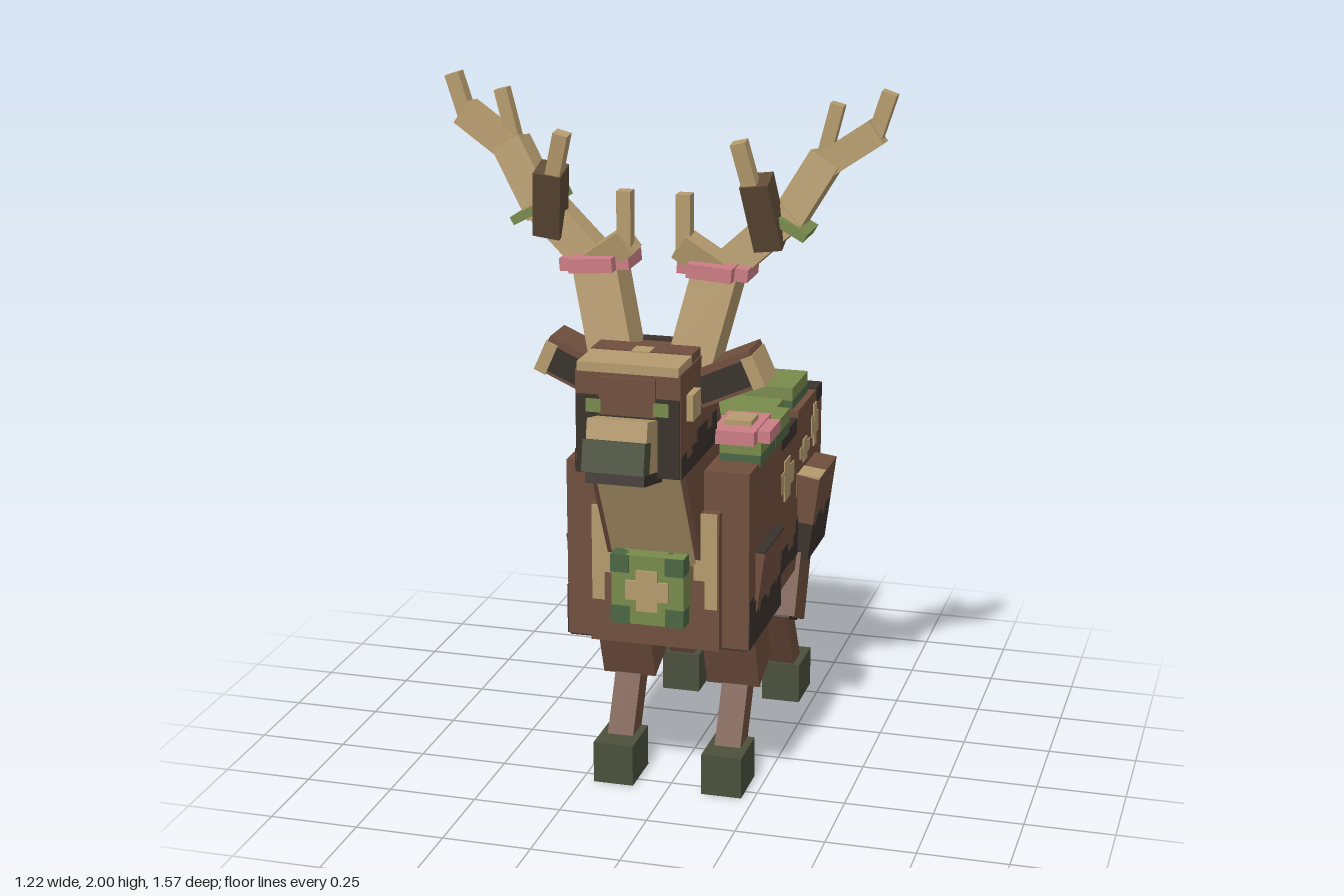
import * as THREE from 'three';

const mat = (name, color) => Object.assign(new THREE.MeshStandardMaterial({ color }), { name });
const brown = mat('brown fur', 0x704f3e), dark = mat('dark fur', 0x3a322c), tan = mat('tan', 0xb59b6e);
const moss = mat('moss', 0x788a4c), deep = mat('deep moss', 0x4c6642), pink = mat('petal', 0xcb7d84);
const hoofMat = mat('hoof', 0x4b503c), bark = mat('bark', 0x5f4b36);

export function createModel() {
  const root = new THREE.Group();
  root.name = 'mossyDeer';
  const SIDES = [1, -1];

  // box given by its extents
  function box(name, m, x0, x1, y0, y1, z0, z1, parent = root) {
    const mesh = new THREE.Mesh(new THREE.BoxGeometry(Math.abs(x1 - x0), y1 - y0, z1 - z0), m);
    mesh.position.set((x0 + x1) / 2, (y0 + y1) / 2, (z0 + z1) / 2);
    mesh.name = name;
    parent.add(mesh);
    return mesh;
  }
  const pair = (name, m, x0, x1, ...r) => SIDES.forEach(s => box(name, m, s * x0, s * x1, ...r));

  // square bar between two points
  function rod(name, m, a, b, w, d = w) {
    const p = new THREE.Vector3(...a), q = new THREE.Vector3(...b), dir = q.clone().sub(p);
    const mesh = new THREE.Mesh(new THREE.BoxGeometry(w, dir.length(), d), m);
    mesh.position.copy(p).add(q).multiplyScalar(0.5);
    mesh.quaternion.setFromUnitVectors(new THREE.Vector3(0, 1, 0), dir.normalize());
    mesh.name = name;
    root.add(mesh);
    return mesh;
  }

  // stepped dark marking along the lower flank, both sides
  function flankBand(x, y0, tops, z0, z1) {
    const step = (z1 - z0) / tops.length;
    tops.forEach((t, i) => pair('flankMarking', dark, x - 0.002, x + 0.003, y0, t, z0 + i * step, z0 + (i + 1) * step));
  }
  // blotch built of crossing plates, both sides
  function flankSpot(x, y, z, w, h) {
    pair('flankSpot', tan, x - 0.002, x + 0.003, y - h / 4, y + h / 4, z - w / 2, z + w / 2);
    pair('flankSpot', tan, x - 0.002, x + 0.004, y - h / 2, y + h / 2, z - w / 5, z + w / 5);
  }

  // trunk
  box('chest', brown, -0.255, 0.255, 0.48, 0.98, 0.02, 0.38);
  box('middle', brown, -0.23, 0.23, 0.53, 0.94, -0.275, 0.03);
  box('belly', brown, -0.215, 0.215, 0.455, 0.88, -0.36, 0.3);
  box('rump', brown, -0.215, 0.215, 0.55, 0.94, -0.665, -0.355);
  box('bib', brown, -0.18, 0.18, 0.48, 0.87, 0.37, 0.41);
  flankBand(0.255, 0.48, [0.58, 0.6, 0.6, 0.58, 0.58, 0.6, 0.6, 0.62], 0.02, 0.38);
  flankBand(0.23, 0.53, [0.6, 0.57, 0.57, 0.6, 0.6, 0.58, 0.64, 0.66], -0.275, 0.02);
  flankBand(0.215, 0.5, [0.61, 0.58], -0.355, -0.275);
  flankBand(0.215, 0.55, [0.69, 0.66, 0.66, 0.69, 0.66, 0.62], -0.665, -0.355);
  flankSpot(0.23, 0.8, -0.15, 0.17, 0.12);
  flankSpot(0.23, 0.73, -0.03, 0.09, 0.12);
  flankSpot(0.215, 0.84, -0.57, 0.09, 0.13);
  flankSpot(0.215, 0.8, -0.44, 0.12, 0.07);
  flankSpot(0.215, 0.72, -0.315, 0.05, 0.14);
  box('rumpUnderside', dark, -0.215, 0.215, 0.546, 0.552, -0.665, -0.36);
  box('chestUnderside', dark, -0.25, 0.25, 0.476, 0.482, 0.3, 0.38);
  box('rumpTopMarking', dark, -0.216, 0.216, 0.9, 0.944, -0.668, -0.59);
  [0.68, 0.65, 0.65, 0.62, 0.65, 0.68, 0.66].forEach((t, i) =>
    box('rumpBackMarking', dark, -0.215 + i * 0.0614, -0.1536 + i * 0.0614, 0.55, t, -0.669, -0.663));
  pair('rumpBackSpot', tan, 0.1, 0.17, 0.74, 0.84, -0.669, -0.663);
  box('chestTopMarking', dark, -0.145, 0.145, 0.978, 0.984, 0.02, 0.1);
  pair('middleTopMarking', dark, 0.2, 0.232, 0.9, 0.944, -0.275, -0.06);
  box('loinSpot', tan, -0.08, -0.005, 0.878, 0.884, -0.355, -0.28);
  box('loinSpot', tan, 0.08, 0.16, 0.878, 0.884, -0.355, -0.31);
  pair('bibSpot', tan, 0.11, 0.175, 0.68, 0.87, 0.408, 0.414);
  pair('bibSpot', tan, 0.14, 0.175, 0.6, 0.68, 0.408, 0.414);

  // mossy chest patch with a pale cross
  box('chestMoss', moss, -0.1, 0.1, 0.565, 0.76, 0.4, 0.48);
  for (const sx of SIDES) for (const y of [0.565, 0.71])
    box('chestMossCorner', deep, sx * 0.05, sx * 0.102, y, y + 0.05, 0.43, 0.484);
  box('chestCross', tan, -0.06, 0.06, 0.635, 0.69, 0.478, 0.486);
  box('chestCross', tan, -0.03, 0.03, 0.605, 0.72, 0.478, 0.487);

  // tail
  const tail = new THREE.Group();
  tail.name = 'tail';
  tail.position.set(0, 0.78, -0.7);
  tail.rotation.x = -0.5;
  box('tailBase', tan, -0.08, 0.08, -0.07, 0.07, -0.05, 0.1, tail);
  box('tailTip', brown, -0.08, 0.08, -0.07, 0.07, -0.06, -0.05, tail);
  box('tailTop', brown, -0.08, 0.08, 0.068, 0.074, -0.06, 0.02, tail);
  root.add(tail);

  // legs
  const legs = [
    { name: 'front', z: [0.085, 0.31], thigh: [0.17, 0.08], ankle: 0.205, hoof: 0.22, split: -0.04 },
    { name: 'rear', z: [-0.59, -0.357], thigh: [-0.455, -0.345], ankle: -0.485, hoof: -0.485, split: -0.015 },
  ];
  for (const L of legs) for (const s of SIDES) {
    const h = new THREE.Group();
    h.name = L.name + 'Shoulder';
    h.position.set(s * 0.2, 0.615, 0);
    h.rotation.z = -s * 0.13;
    box('upper', brown, -0.065, 0.065, L.split, 0.13, ...L.z, h);
    box('lower', dark, -0.065, 0.065, -0.13, L.split, ...L.z, h);
    for (const k of [0.12, 0.6]) {
      const z = L.z[0] + k * (L.z[1] - L.z[0]);
      box('shoulderMarking', dark, s * 0.06, s * 0.068, L.split - 0.01, L.split + 0.025, z, z + 0.06, h);
    }
    if (L.name === 'rear') box('shoulderTopSpot', tan, -0.02, 0.065, 0.128, 0.134, -0.44, -0.357, h);
    else box('shoulderTop', dark, -0.065, 0.065, 0.128, 0.134, ...L.z, h);
    root.add(h);

    const x = s * 0.152, [z0, z1] = L.thigh, dz = (z1 - z0) * 0.1;
    rod(L.name + 'Thigh', brown, [x, 0.55, z0], [x, 0.3, z1], 0.152, 0.142);
    rod(L.name + 'Knee', dark, [x, 0.315, z1 - dz * 0.6], [x, 0.295, z1 + dz * 0.2], 0.115, 0.12);
    rod(L.name + 'Shin', brown, [x + s * 0.005, 0.33, z1], [x + s * 0.005, 0.08, L.ankle], 0.075, 0.075);
    box(L.name + 'Hoof', hoofMat, s * 0.1, s * 0.215, 0, 0.12, L.hoof - 0.077, L.hoof + 0.077);
  }

  // neck
  const neck = new THREE.Group();
  neck.name = 'neck';
  neck.position.set(0, 0.92, 0.318);
  neck.rotation.x = 0.49;
  box('neckCore', brown, -0.13, 0.13, -0.225, 0.225, -0.175, 0.17, neck);
  box('throat', tan, -0.115, 0.115, -0.225, 0.225, 0.168, 0.176, neck);
  root.add(neck);

  // head
  box('head', brown, -0.14, 0.14, 1.04, 1.315, 0.295, 0.645);
  box('browCap', tan, -0.135, 0.135, 1.31, 1.335, 0.44, 0.646);
  box('crownMarking', brown, -0.136, 0.136, 1.312, 1.338, 0.438, 0.52);
  box('browPoint', tan, -0.025, 0.025, 1.334, 1.34, 0.48, 0.53);
  box('napeMarking', dark, -0.1, 0.1, 1.25, 1.319, 0.291, 0.33);
  box('face', dark, -0.138, 0.138, 1.04, 1.25, 0.643, 0.65);
  box('forehead', brown, -0.075, 0.075, 1.2, 1.3, 0.644, 0.652);
  flankBand(0.14, 1.04, [1.13, 1.1, 1.13, 1.13, 1.1, 1.08, 1.1], 0.295, 0.645);
  pair('cheekSpot', tan, 0.13, 0.158, 1.18, 1.25, 0.515, 0.59);
  pair('eye', moss, 0.07, 0.11, 1.205, 1.24, 0.646, 0.654);

  // snout
  const snout = new THREE.Group();
  snout.name = 'snout';
  snout.position.set(0, 1.125, 0.68);
  snout.rotation.x = -0.22;
  box('muzzle', tan, -0.08, 0.08, -0.06, 0.075, -0.1, 0.075, snout);
  box('jaw', dark, -0.078, 0.078, -0.09, -0.06, -0.1, 0.07, snout);
  box('nose', hoofMat, -0.082, 0.082, -0.06, 0.022, 0.04, 0.095, snout);
  root.add(snout);

  // flower: crossed petals, leafy corners and a pale centre
  function flower(x, y, z, tilt = 0, withHeart = true) {
    const g = new THREE.Group();
    g.name = 'flower';
    g.position.set(x, y, z);
    g.rotation.z = tilt;
    box('petals', pink, -0.095, 0.095, -0.018, 0.016, -0.06, 0.06, g);
    box('petals', pink, -0.06, 0.06, -0.018, 0.02, -0.095, 0.095, g);
    if (withHeart) box('heart', tan, -0.038, 0.038, 0.01, 0.034, -0.038, 0.038, g);
    root.add(g);
  }
  // moss cushion with a darker lower rim
  function cushion(x0, x1, y0, y1, z0, z1) {
    const mid = y0 + (y1 - y0) * 0.45;
    box('mossCushion', moss, x0, x1, mid, y1, z0, z1);
    box('mossRim', deep, x0, x1, y0, mid, z0, z1);
  }
  for (const [x0, x1] of [[-0.2, -0.01], [0.005, 0.195]]) {
    cushion(x0, x1, 0.935, 1.005, -0.56, -0.365);
    cushion(x0, x1, 0.935, 1.005, -0.255, -0.06);
  }
  for (const [x0, x1] of [[-0.26, -0.145], [0.145, 0.26]]) {
    cushion(x0, x1, 0.97, 1.04, -0.055, 0.112);
    cushion(x0, x1, 0.97, 1.04, 0.118, 0.28);
  }
  flower(-0.105, 1.023, -0.155);
  flower(0.19, 1.055, 0.22);

  for (const s of SIDES) {
    // ears
    const ear = new THREE.Group();
    ear.name = 'ear';
    ear.position.set(s * 0.21, 1.255, 0.395);
    ear.rotation.z = s * 0.42;
    box('earShell', brown, -0.09, 0.09, -0.045, 0.055, -0.06, 0.06, ear);
    box('earInside', dark, s * -0.085, s * 0.06, -0.035, 0.035, 0.058, 0.064, ear);
    box('earTip', tan, s * 0.06, s * 0.094, -0.047, 0.04, -0.062, 0.066, ear);
    root.add(ear);

    // antlers: main beam, then side tines
    const bar = (name, m, a, b, w) => rod(name, m, [s * a[0], a[1], a[2]], [s * b[0], b[1], b[2]], w);
    bar('antlerBase', tan, [0.1, 1.26, 0.39], [0.17, 1.55, 0.34], 0.12);
    bar('antlerBeam', tan, [0.16, 1.51, 0.34], [0.345, 1.68, 0.31], 0.09);
    bar('antlerBeam', tan, [0.325, 1.64, 0.31], [0.43, 1.82, 0.28], 0.085);
    bar('antlerBeam', tan, [0.4, 1.785, 0.28], [0.56, 1.895, 0.27], 0.07);
    bar('antlerTip', tan, [0.55, 1.87, 0.27], [0.59, 1.995, 0.27], 0.04);
    bar('outerTine', tan, [0.42, 1.82, 0.27], [0.455, 1.96, 0.27], 0.036);
    bar('middleTine', bark, [0.3, 1.6, 0.35], [0.275, 1.78, 0.41], 0.075);
    bar('middleTineTip', tan, [0.265, 1.76, 0.42], [0.235, 1.88, 0.435], 0.04);
    bar('innerTineBase', tan, [0.17, 1.53, 0.37], [0.07, 1.6, 0.39], 0.07);
    bar('innerTine', tan, [0.08, 1.58, 0.39], [0.08, 1.73, 0.39], 0.038);

    flower(s * 0.16, 1.535, 0.355, -s * 0.08, false);
    const leaf = box('antlerLeaf', moss, -0.07, 0.07, -0.012, 0.012, -0.065, 0.065);
    leaf.position.set(s * 0.335, 1.66, 0.315);
    leaf.rotation.z = -s * 0.5;
  }
  return root;
}
